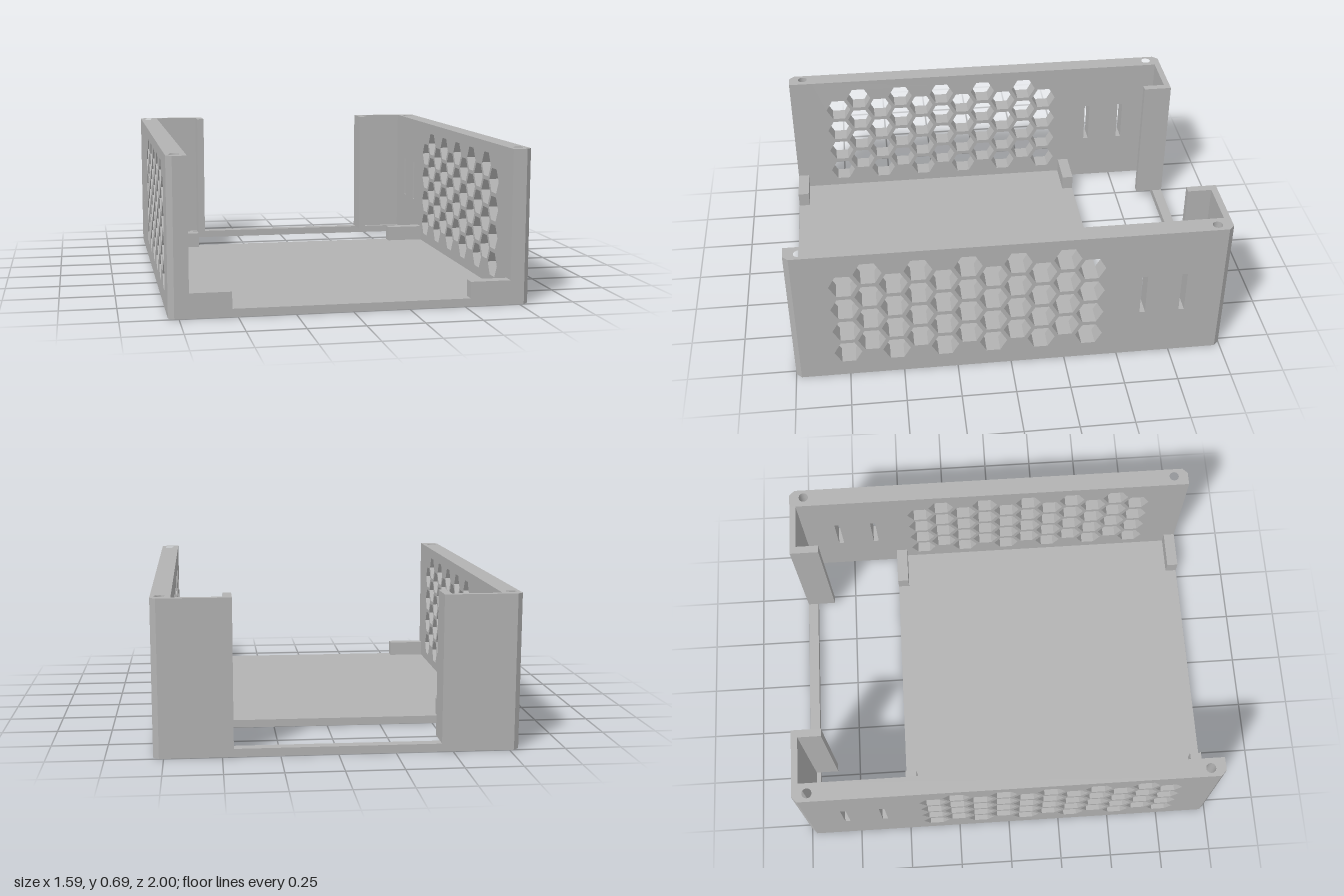
import * as THREE from 'three';

const W = 0.795, IN = 0.707, H = 0.69, FLOOR = 0.036; // half width, inner wall face, height, floor thickness
const SPLIT = 0.88; // where the vented panel meets the corner posts

export function createModel() {
  const group = new THREE.Group();
  group.name = 'enclosure';
  const grey = new THREE.MeshStandardMaterial({ color: 0xb2b2b2 });
  grey.name = 'grey plastic';

  const add = (name, geometry) => {
    const mesh = new THREE.Mesh(geometry, grey);
    mesh.name = name;
    group.add(mesh);
  };

  const box = (name, x0, x1, y0, y1, z0, z1) => {
    const g = new THREE.BoxGeometry(Math.abs(x1 - x0), y1 - y0, z1 - z0);
    add(name, g.translate((x0 + x1) / 2, (y0 + y1) / 2, (z0 + z1) / 2));
  };

  const outline = (Type, pts) => new Type(pts.map(([a, b]) => new THREE.Vector2(a, b)));

  // extrude a plan outline given in (x, -z) upwards
  const upright = (name, shape, y0, y1) => {
    const g = new THREE.ExtrudeGeometry(shape, { depth: y1 - y0, bevelEnabled: false, curveSegments: 32 });
    add(name, g.rotateX(-Math.PI / 2).translate(0, y0, 0));
  };

  // floor plate and the thin bar closing the rear opening
  box('floor', -IN, IN, 0, FLOOR, -0.51, 1);
  box('rearBar', -IN, IN, 0, FLOOR, -1, -0.95);

  for (const s of [1, -1]) {
    const side = s > 0 ? 'left' : 'right';

    // side wall with honeycomb vent and two strap slots, drawn in (z, y)
    const wall = outline(THREE.Shape, [[-SPLIT, 0], [SPLIT, 0], [SPLIT, H], [-SPLIT, H]]);
    for (let col = 0; col < 11; col++) {
      for (let row = 0; row < 4; row++) {
        const z = 0.752 - col * 0.1114;
        const y = 0.134 + row * 0.1286 + (col % 2) * 0.0643;
        const hex = [];
        for (let k = 0; k < 6; k++) {
          const a = -k * Math.PI / 3;
          hex.push([z + 0.0635 * Math.cos(a), y + 0.0635 * Math.sin(a)]);
        }
        wall.holes.push(outline(THREE.Path, hex));
      }
    }
    for (const z of [-0.609, -0.793]) {
      wall.holes.push(outline(THREE.Path,
        [[z - 0.013, 0.243], [z - 0.013, 0.452], [z + 0.013, 0.452], [z + 0.013, 0.243]]));
    }
    const panel = new THREE.ExtrudeGeometry(wall, { depth: W - IN, bevelEnabled: false });
    add(side + 'Wall', panel.rotateY(-Math.PI / 2).translate(s > 0 ? W : -IN, 0, 0));

    // chamfered corner posts with vertical screw holes
    for (const e of [1, -1]) {
      const post = outline(THREE.Shape, [
        [s * IN, e * SPLIT], [s * W, e * SPLIT], [s * W, e * 0.975],
        [s * (W - 0.025), e], [s * IN, e],
      ]);
      const hole = new THREE.Path();
      hole.absarc(s * 0.755, e * 0.93, 0.023, 0, Math.PI * 2, true);
      post.holes.push(hole);
      upright(side + (e > 0 ? 'RearPost' : 'FrontPost'), post, 0, H);
    }

    // rear corner panel with its inward lip
    upright(side + 'RearPanel', outline(THREE.Shape, [
      [s * IN, 1], [s * 0.451, 1], [s * 0.451, 0.86],
      [s * 0.487, 0.86], [s * 0.487, 0.97], [s * IN, 0.97],
    ]), FLOOR, H);

    // stops on the floor
    box(side + 'FrontStop', s * 0.525, s * IN, FLOOR, 0.11, 0.945, 1);
    box(side + 'RearStop', s * 0.525, s * IN, FLOOR, 0.11, -0.51, -0.455);
  }
  return group;
}
